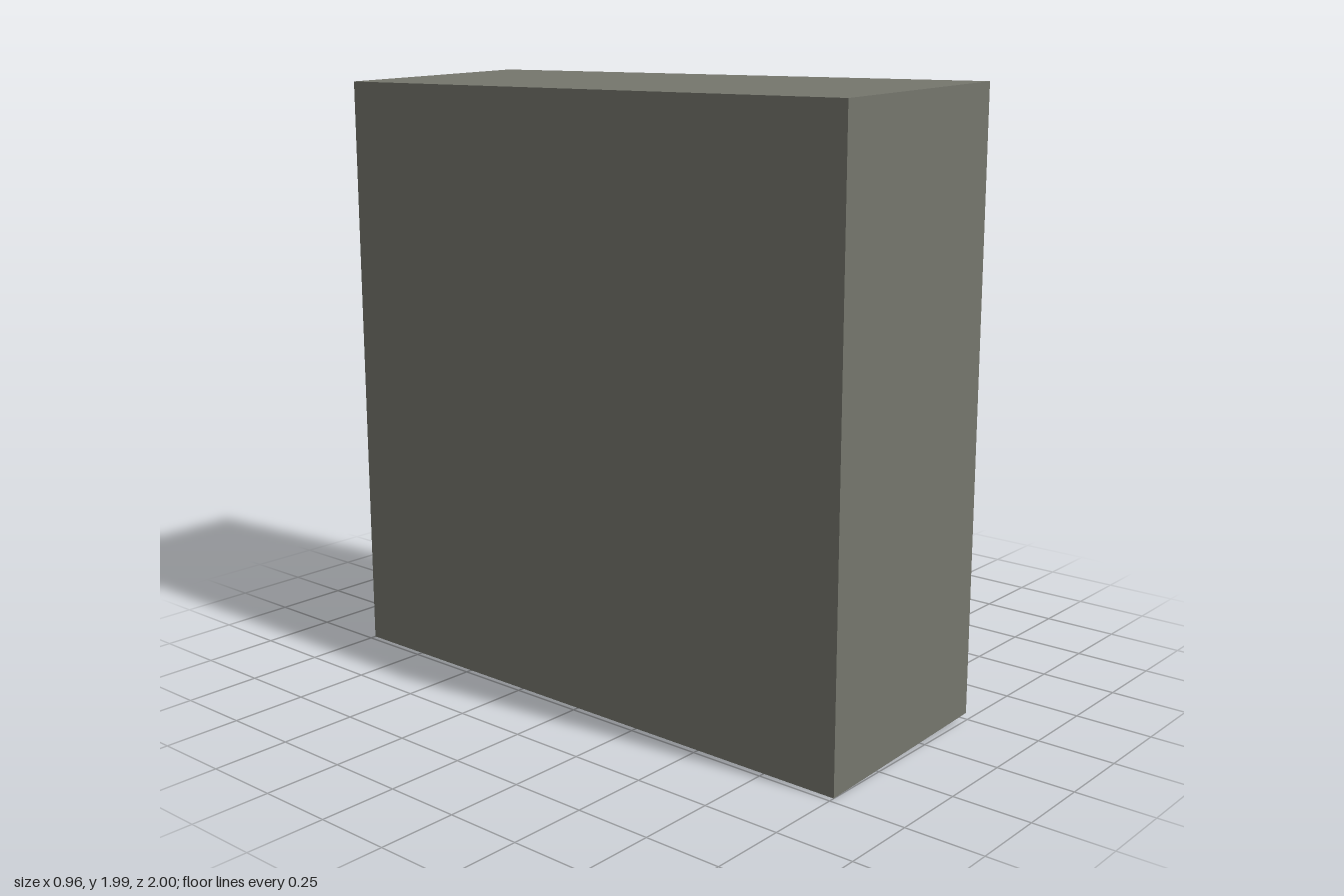
import * as THREE from 'three';

// Extrude a convex outline of [a, b] points, with an optional hole
function extrude(points, depth, hole) {
  const shape = new THREE.Shape(points.map(p => new THREE.Vector2(...p)));
  if (hole) shape.holes.push(new THREE.Path(hole.map(p => new THREE.Vector2(...p))));
  return new THREE.ExtrudeGeometry(shape, { depth, bevelEnabled: false });
}

const rect = (w, y0, y1) => [[-w, y0], [w, y0], [w, y1], [-w, y1]];

// Move every vertex by a rule, then refresh the normals
function deform(geometry, rule) {
  const pos = geometry.attributes.position;
  const v = new THREE.Vector3();
  for (let i = 0; i < pos.count; i++) {
    rule(v.fromBufferAttribute(pos, i));
    pos.setXYZ(i, v.x, v.y, v.z);
  }
  geometry.computeVertexNormals();
  return geometry;
}

export function createModel() {
  const model = new THREE.Group();
  model.name = 'hoodedBlock';
  const stone = new THREE.MeshStandardMaterial({ color: 0x75766d });
  stone.name = 'greyStone';

  const add = (name, geometry, parent) => {
    const mesh = new THREE.Mesh(geometry, stone);
    mesh.name = name;
    parent.add(mesh);
  };

  // Block: three layers along x, rising slightly towards +x
  const block = new THREE.Group();
  block.name = 'block';
  model.add(block);
  const layers = [
    ['backSlab', -0.48, -0.33, null],
    ['recessWalls', -0.33, 0.23, rect(0.4, 0.03, 1.76)],
    ['openingWall', 0.23, 0.24, rect(0.4, 0.03, 0.805)],
  ];
  for (const [name, x0, x1, hole] of layers) {
    const g = extrude(rect(1, 0, 1.96), x1 - x0, hole);
    g.rotateY(Math.PI / 2).translate(x0, 0, 0);
    add(name, deform(g, v => { v.y += (v.x + 0.48) * 0.035; }), block);
  }

  // Hood: thick sloping panel between two thin cheeks, open underneath
  const hood = new THREE.Group();
  hood.name = 'hood';
  model.add(hood);
  const skew = v => { if (v.x > 0.25) v.x += 0.02 * (v.z - 0.4) / 0.8; };
  const cheek = [[0.24, 0.83], [0.48, 0.84], [0.28, 1.78], [0.24, 1.79]];
  const panel = [[0.24, 1.3], [0.34, 0.835], [0.48, 0.84], [0.28, 1.78], [0.24, 1.79]];
  add('hoodPanel', deform(extrude(panel, 0.78).translate(0, 0, -0.39), skew), hood);
  for (const [name, z] of [['frontCheek', 0.39], ['backCheek', -0.4]]) {
    add(name, deform(extrude(cheek, 0.01).translate(0, 0, z), skew), hood);
  }
  return model;
}
